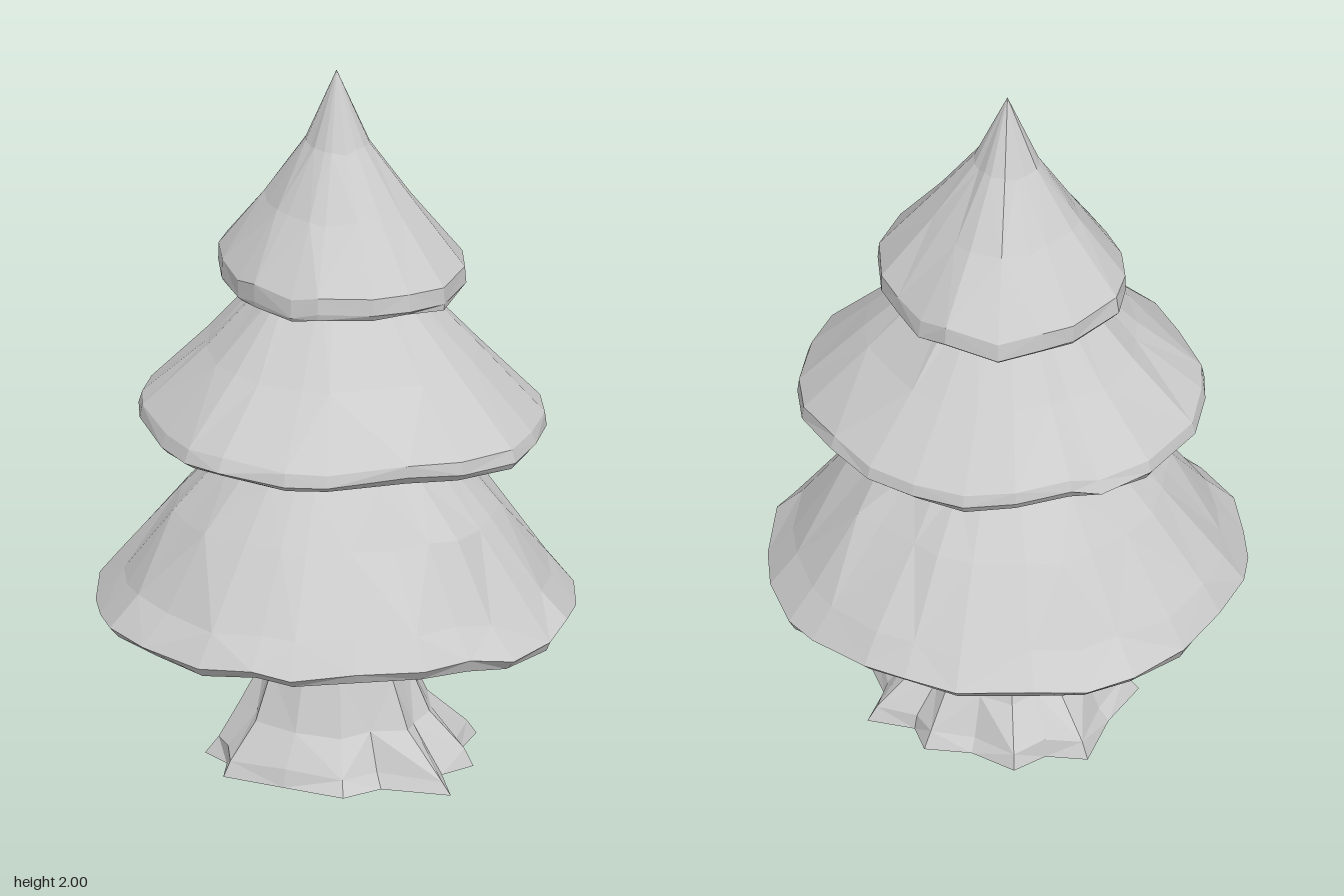
import * as THREE from 'three';

// Small seeded generator, returns -1..1
function seeded(seed) {
  let s = seed;
  return () => {
    s = (s * 16807) % 2147483647;
    return (s / 2147483647) * 2 - 1;
  };
}

// Faceted skin over rings listed along the surface, from the top down
function loft(rings) {
  const pos = [];
  const tri = (...corners) => corners.forEach((p) => pos.push(...p));
  for (let k = 0; k + 1 < rings.length; k++) {
    const a = rings[k], b = rings[k + 1];
    for (let i = 0; i < a.length; i++) {
      const j = (i + 1) % a.length;
      if ((i + k) % 2) {
        tri(a[i], a[j], b[j]);
        tri(a[i], b[j], b[i]);
      } else {
        tri(a[i], a[j], b[i]);
        tri(a[j], b[j], b[i]);
      }
    }
  }
  const g = new THREE.BufferGeometry();
  g.setAttribute('position', new THREE.Float32BufferAttribute(pos, 3));
  g.computeVertexNormals();
  return g;
}

// Ring: the [x, z, sag] outline scaled by s at height y, roughened a little
function ring(outline, s, y, rough, rnd) {
  return outline.map(([x, z, sag]) => {
    const k = s * (1 + rough * rnd());
    return [x * k, y + sag * s ** 4 + (s ? rough * 0.25 * rnd() : 0), z * k];
  });
}

// Uneven rim of a branch skirt from its reach every 30 degrees (+x toward +z)
function rimOutline({ sides, reach }, rnd) {
  return Array.from({ length: sides }, (_, i) => {
    const step = (((i + 0.25 * rnd()) / sides) * 12 + 12) % 12;
    const n = Math.floor(step);
    const r = THREE.MathUtils.lerp(reach[n], reach[(n + 1) % 12], step - n) * (1 + 0.012 * rnd());
    const a = (step / 6) * Math.PI;
    return [r * Math.cos(a), r * Math.sin(a), 0.018 * rnd()];
  });
}

// outer: [scale, height] from the tip down to the rim
const tiers = [
  { name: 'lowerBranches', seed: 1103, sides: 26,
    reach: [0.67, 0.66, 0.67, 0.64, 0.645, 0.665, 0.665, 0.65, 0.665, 0.665, 0.67, 0.65],
    outer: [[0, 1.12], [0.3, 1.02], [0.48, 0.88], [0.67, 0.74], [0.9, 0.54], [1, 0.455]] },
  { name: 'middleBranches', seed: 2909, sides: 22,
    reach: [0.55, 0.58, 0.6, 0.575, 0.57, 0.575, 0.545, 0.54, 0.55, 0.51, 0.54, 0.53],
    outer: [[0, 1.54], [0.3, 1.43], [0.67, 1.2], [0.98, 1.03], [1, 0.995]] },
  { name: 'upperBranches', seed: 4703, sides: 18,
    reach: [0.34, 0.37, 0.375, 0.37, 0.365, 0.32, 0.31, 0.33, 0.36, 0.35, 0.375, 0.365],
    outer: [[0, 2], [0.26, 1.79], [0.59, 1.62], [0.98, 1.445], [0.99, 1.395]] },
];

function skirtGeometry(tier) {
  const rnd = seeded(tier.seed * 7919);
  const outline = rimOutline(tier, rnd);
  const rimY = tier.outer.at(-1)[1];
  const rings = tier.outer.map(([s, y]) => ring(outline, s, y, s < 0.95 ? 0.03 : 0.01, rnd));
  // Lip, then the hollow, folded underside
  for (const [s, rise] of [[0.96, -0.025], [0.74, 0.06], [0.42, 0.16], [0, 0.2]]) {
    rings.push(ring(outline, s, rimY + rise * tier.reach[0] / 0.6, s > 0.9 ? 0.02 : 0.07, rnd));
  }
  return loft(rings);
}

// Root tips around the trunk: [degrees from +x toward +z, reach]
const roots = [[5, 0.41], [42, 0.39], [73, 0.46], [113, 0.36], [174, 0.365],
  [205, 0.36], [262, 0.395], [293, 0.38], [335, 0.36]];

function trunkGeometry() {
  const rnd = seeded(6301 * 7919);
  // Each root is a tip followed by a groove before the next one
  const spokes = roots.flatMap(([deg, reach], i) => {
    const next = roots[(i + 1) % roots.length];
    const gap = (next[0] - deg + 360) % 360;
    return [[deg, reach], [deg + gap * 0.5, Math.min(reach, next[1]) * 0.87]];
  });
  // flare: 0 on the round stem, 1 at the spread roots
  const level = ([stem, flare, y]) => {
    const outline = spokes.map(([deg, reach]) => {
      const a = THREE.MathUtils.degToRad(deg);
      const r = THREE.MathUtils.lerp(stem, reach, flare);
      return [r * Math.cos(a), r * Math.sin(a), 0];
    });
    return ring(outline, 1, y, y ? 0.05 : 0, rnd);
  };
  const rings = [[0, 0, 0.7], [0.18, 0, 0.69], [0.165, 0.1, 0.45], [0.165, 0.18, 0.28],
    [0.18, 0.42, 0.14], [0.2, 0.85, 0.04], [0.2, 1, 0], [0, 0, 0]].map(level);
  return loft(rings);
}

export function createModel() {
  const tree = new THREE.Group();
  tree.name = 'pineTree';
  const material = new THREE.MeshStandardMaterial({ color: 0xcccccc, flatShading: true });
  const add = (name, geometry) => {
    const mesh = new THREE.Mesh(geometry, material);
    mesh.name = name;
    tree.add(mesh);
  };

  // Three stacked skirts of branches on a trunk with spreading roots
  for (const tier of tiers) add(tier.name, skirtGeometry(tier));
  add('trunk', trunkGeometry());

  return tree;
}
